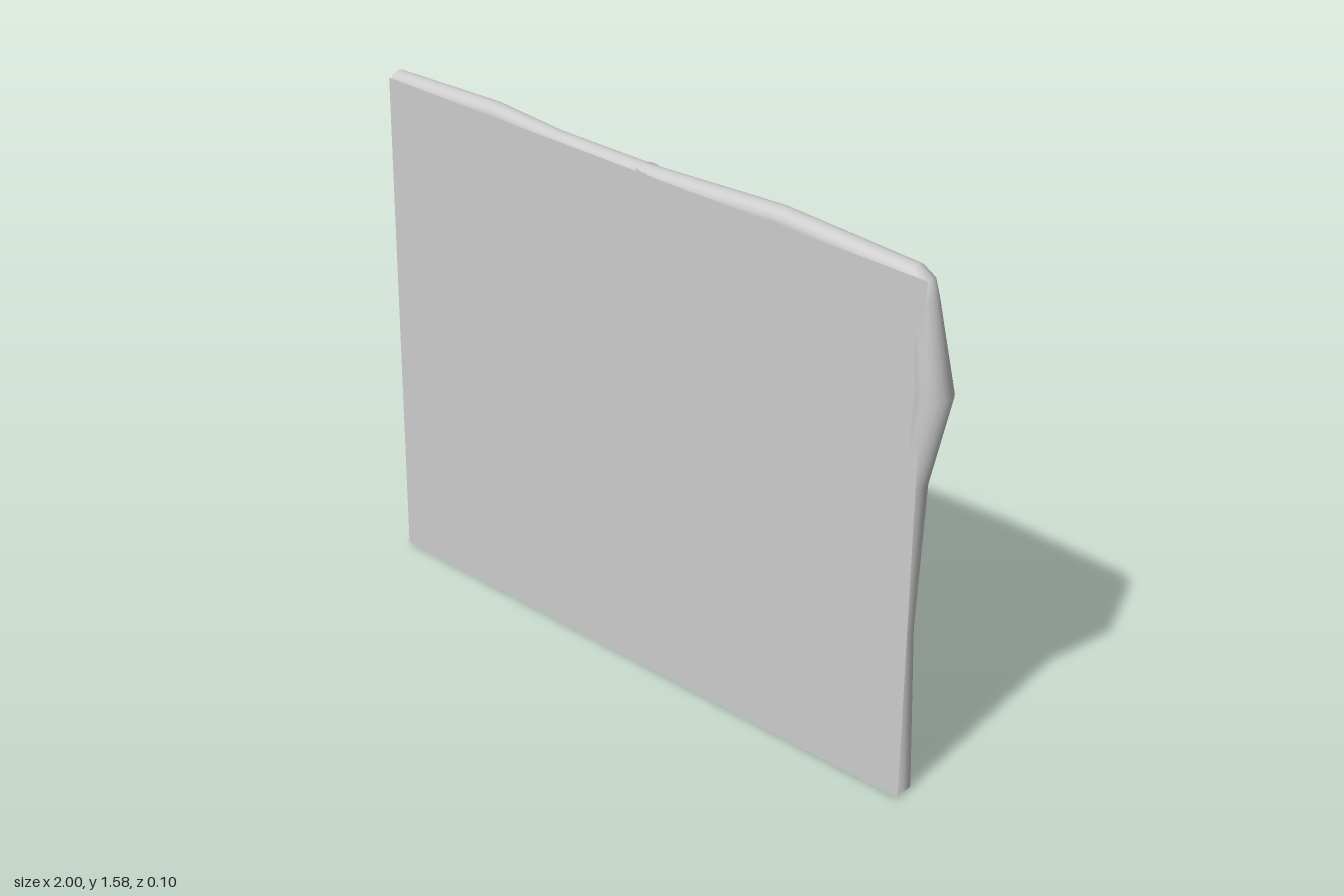
import * as THREE from 'three';

const material = new THREE.MeshStandardMaterial({ color: 0xcccccc, side: THREE.DoubleSide });
const SIDES = 16;

// Open round pipe through [x, y, radius] points in the plane z = 0, mitred at each bend
function pipe(name, points) {
  const centres = points.map(([x, y]) => new THREE.Vector2(x, y));
  const positions = [], indices = [];
  points.forEach(([x, y, r], i) => {
    const before = centres[i].clone().sub(centres[Math.max(i - 1, 0)]).normalize();
    const after = centres[Math.min(i + 1, centres.length - 1)].clone().sub(centres[i]).normalize();
    const t = before.clone().add(after).normalize();
    const miter = r / t.dot(i ? before : after);
    for (let k = 0; k < SIDES; k++) {
      const a = (k / SIDES) * Math.PI * 2;
      const u = Math.cos(a) * miter;
      positions.push(x + t.y * u, y - t.x * u, Math.sin(a) * r);
    }
    if (i === 0) return;
    for (let k = 0; k < SIDES; k++) {
      const n = (k + 1) % SIDES;
      const a = (i - 1) * SIDES + k, b = (i - 1) * SIDES + n;
      const c = i * SIDES + k, d = i * SIDES + n;
      indices.push(a, c, b, b, c, d);
    }
  });
  const geometry = new THREE.BufferGeometry();
  geometry.setAttribute('position', new THREE.Float32BufferAttribute(positions, 3));
  // Ring runs from the right of travel towards +z, so reverse for outward faces
  for (let i = 0; i < indices.length; i += 3) {
    [indices[i + 1], indices[i + 2]] = [indices[i + 2], indices[i + 1]];
  }
  geometry.setIndex(indices);
  geometry.computeVertexNormals();
  const mesh = new THREE.Mesh(geometry, material);
  mesh.name = name;
  return mesh;
}

export function createModel() {
  const group = new THREE.Group();
  group.name = 'crookedPoleScreen';

  // Side post that turns the corner into the top rail
  group.add(pipe('sidePostAndTopRail', [
    [0.893, 0, 0.037], [0.876, 0.49, 0.037], [0.896, 0.95, 0.038],
    [0.946, 1.22, 0.05], [0.902, 1.47, 0.036], [0.892, 1.505, 0.035], [0.865, 1.521, 0.035],
    [0.44, 1.54, 0.035], [0, 1.517, 0.034], [-0.36, 1.519, 0.031],
    [-0.6, 1.534, 0.032], [-1, 1.517, 0.035],
  ]));

  // Zigzag post in the middle
  group.add(pipe('middlePost', [
    [-0.04, 0, 0.037], [-0.08, 0.41, 0.037], [0, 0.76, 0.037],
    [-0.09, 1.13, 0.037], [-0.025, 1.54, 0.033],
  ]));

  // Thin panel on the front, leaning slightly back
  const panelGeometry = new THREE.PlaneGeometry(1.935, 1.54);
  panelGeometry.translate(-0.0325, 0.77, 0);
  const p = panelGeometry.attributes.position;
  for (let i = 0; i < p.count; i++) p.setZ(i, p.getY(i) > 0.5 ? 0.038 : 0.05);
  panelGeometry.computeVertexNormals();
  const panel = new THREE.Mesh(panelGeometry, material);
  panel.name = 'frontPanel';
  group.add(panel);

  return group;
}
